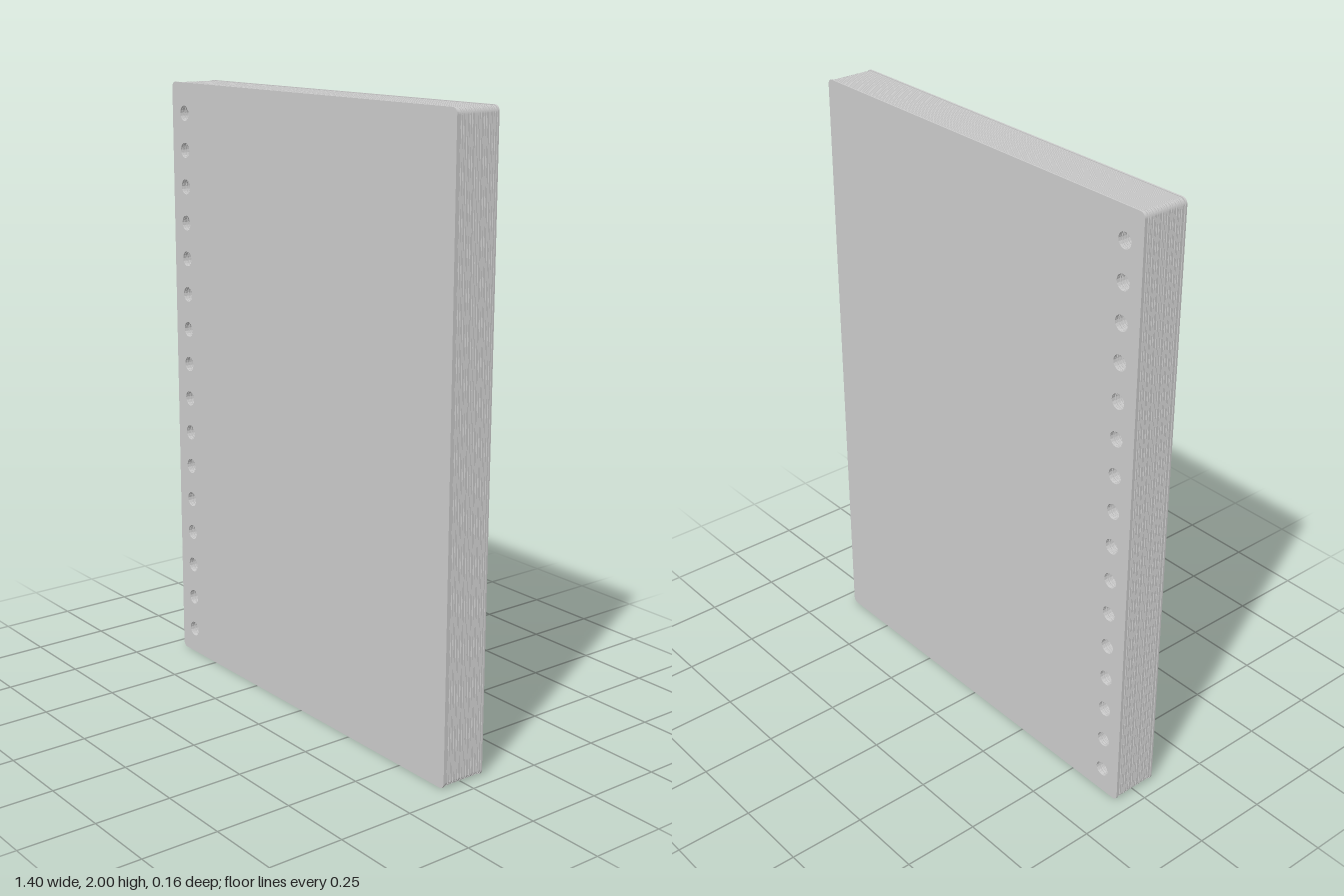
import * as THREE from 'three';

const WIDTH = 1.404, HEIGHT = 2, DEPTH = 0.155;
const HOLES = 16, HOLE_X = -0.632, HOLE_Y = 0.085, HOLE_STEP = 0.121, HOLE_R = 0.025;

// Rounded sheet with a column of binding holes along its right edge
function sheetGeometry(inset, thickness) {
  const x = WIDTH / 2 - inset, y0 = inset, y1 = HEIGHT - inset, r = 0.018;
  const shape = new THREE.Shape();
  shape.moveTo(-x + r, y0);
  shape.lineTo(x - r, y0);
  shape.absarc(x - r, y0 + r, r, -Math.PI / 2, 0, false);
  shape.lineTo(x, y1 - r);
  shape.absarc(x - r, y1 - r, r, 0, Math.PI / 2, false);
  shape.lineTo(-x + r, y1);
  shape.absarc(-x + r, y1 - r, r, Math.PI / 2, Math.PI, false);
  shape.lineTo(-x, y0 + r);
  shape.absarc(-x + r, y0 + r, r, Math.PI, Math.PI * 1.5, false);
  for (let i = 0; i < HOLES; i++) {
    const hole = new THREE.Path();
    hole.absarc(HOLE_X, HOLE_Y + i * HOLE_STEP, HOLE_R, 0, Math.PI * 2, true);
    shape.holes.push(hole);
  }
  const geometry = new THREE.ExtrudeGeometry(shape, { depth: thickness, bevelEnabled: false, curveSegments: 8 });
  return geometry.translate(0, 0, -thickness / 2);
}

export function createModel() {
  const notebook = new THREE.Group();
  notebook.name = 'notebook';
  const material = new THREE.MeshStandardMaterial({ color: 0xcccccc });

  // Front and back covers
  const coverThickness = 0.006;
  const coverGeometry = sheetGeometry(0, coverThickness);
  for (const [name, side] of [['frontCover', 1], ['backCover', -1]]) {
    const cover = new THREE.Mesh(coverGeometry, material);
    cover.name = name;
    cover.position.z = side * (DEPTH - coverThickness) / 2;
    notebook.add(cover);
  }

  // Stack of loose pages, each very slightly shifted sideways
  const pages = new THREE.Group();
  pages.name = 'pages';
  const count = 36;
  const pitch = (DEPTH - 2 * coverThickness) / count;
  const pageGeometry = sheetGeometry(0.002, pitch * 0.75);
  for (let i = 0; i < count; i++) {
    const page = new THREE.Mesh(pageGeometry, material);
    page.name = 'page';
    page.position.set(0.0015 * Math.sin(i * 2.4), 0, (i + 0.5 - count / 2) * pitch);
    pages.add(page);
  }
  notebook.add(pages);
  return notebook;
}
